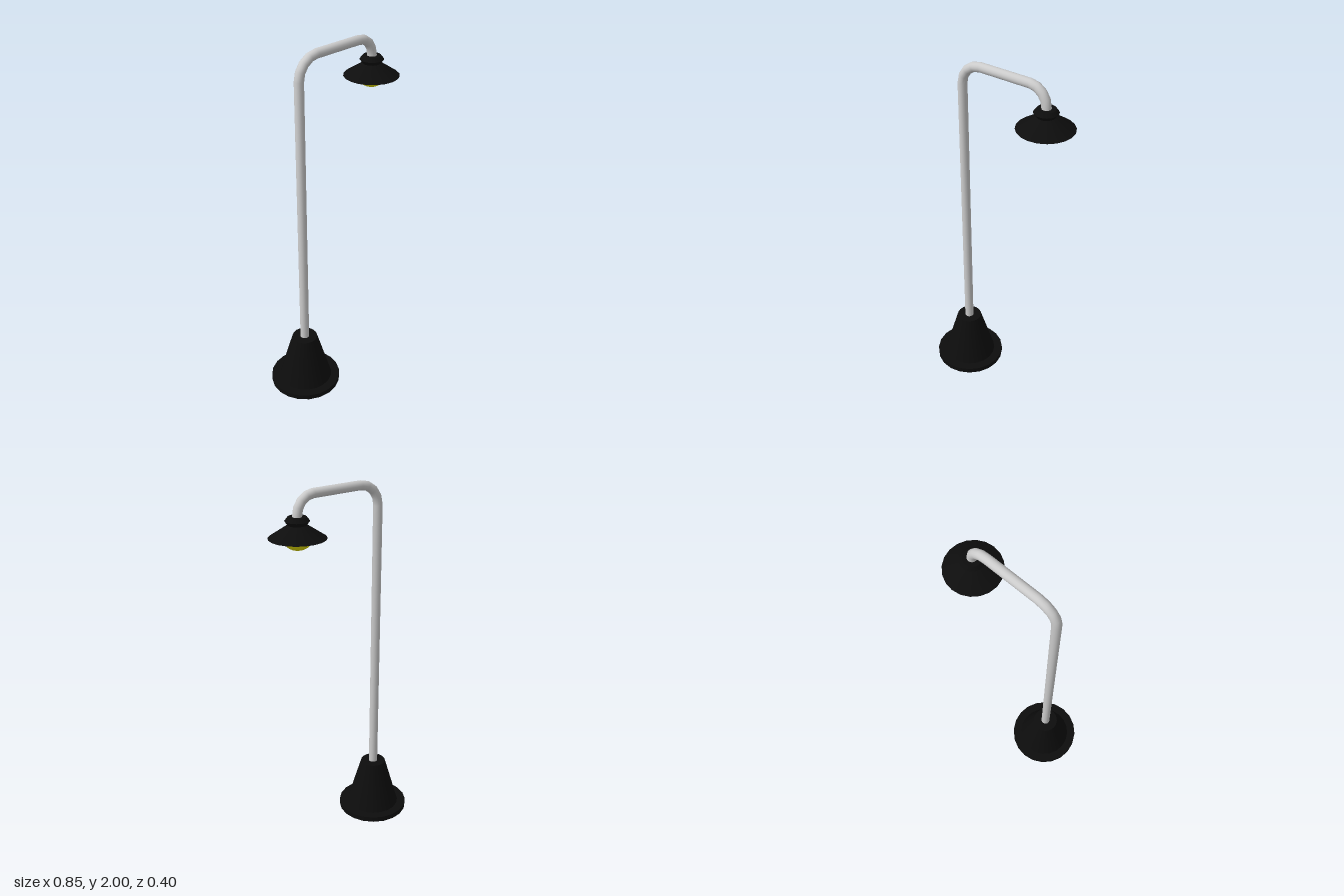
import * as THREE from 'three';

const BASE_X = -0.225, LAMP_X = 0.275;

// Follows the given points exactly, with averaged tangents at the corners
class PointPath extends THREE.Curve {
  constructor(points) { super(); this.points = points; }
  index(u) { return Math.round(u * (this.points.length - 1)); }
  getPoint(u, target = new THREE.Vector3()) { return target.copy(this.points[this.index(u)]); }
  getPointAt(u, target) { return this.getPoint(u, target); }
  getTangentAt(u, target = new THREE.Vector3()) {
    const i = this.index(u), p = this.points, last = p.length - 1;
    const here = p[i];
    target.set(0, 0, 0);
    if (i > 0) target.add(here.clone().sub(p[i - 1]).normalize());
    if (i < last) target.add(p[i + 1].clone().sub(here).normalize());
    return target.normalize();
  }
}

export function createModel() {
  const model = new THREE.Group();
  const grey = new THREE.MeshStandardMaterial({ color: 0xcccccc });
  const black = new THREE.MeshStandardMaterial({ color: 0x0d0d0d });
  const yellow = new THREE.MeshStandardMaterial({ color: 0xe6e000 });

  const add = (name, geometry, material, parent = model) => {
    const mesh = new THREE.Mesh(geometry, material);
    mesh.name = name;
    parent.add(mesh);
    return mesh;
  };
  // Round section between two heights
  const section = (name, x, y0, r0, y1, r1, parent) => {
    const mesh = add(name, new THREE.CylinderGeometry(r1, r0, y1 - y0, 20), black, parent);
    mesh.position.set(x, (y0 + y1) / 2, 0);
  };

  // Base: flat foot and tapered plinth
  const base = new THREE.Group();
  base.name = 'base';
  model.add(base);
  section('foot', BASE_X, 0, 0.2, 0.03, 0.2, base);
  section('plinth', BASE_X, 0.03, 0.152, 0.31, 0.071, base);

  // Pole with two bends, ending above the lamp
  const points = [new THREE.Vector3(BASE_X, 0.28, 0)];
  const bend = (cx, cy, rx, ry, from, to) => {
    for (let i = 0; i <= 4; i++) {
      const a = from + (to - from) * i / 4;
      points.push(new THREE.Vector3(cx + rx * Math.cos(a), cy + ry * Math.sin(a), 0));
    }
  };
  bend(BASE_X + 0.115, 1.86, 0.115, 0.115, Math.PI, Math.PI / 2);
  bend(LAMP_X - 0.095, 1.875, 0.095, 0.1, Math.PI / 2, 0);
  points.push(new THREE.Vector3(LAMP_X, 1.85, 0));
  add('pole', new THREE.TubeGeometry(new PointPath(points), points.length - 1, 0.025, 16), grey);

  // Lamp head: collar, neck, conical shade and bulb
  const lamp = new THREE.Group();
  lamp.name = 'lampHead';
  model.add(lamp);
  section('collarTop', LAMP_X, 1.853, 0.063, 1.873, 0.048, lamp);
  section('collarBottom', LAMP_X, 1.833, 0.048, 1.853, 0.063, lamp);
  section('shade', LAMP_X, 1.767, 0.148, 1.833, 0.048, lamp);
  const bulb = add('bulb', new THREE.SphereGeometry(0.083, 20, 14), yellow, lamp);
  bulb.scale.y = 0.93;
  bulb.position.set(LAMP_X, 1.783, 0);
  // Keep the hidden upper half of the bulb inside the shade
  const pos = bulb.geometry.attributes.position;
  for (let i = 0; i < pos.count; i++) pos.setY(i, Math.min(pos.getY(i), 0));

  return model;
}
